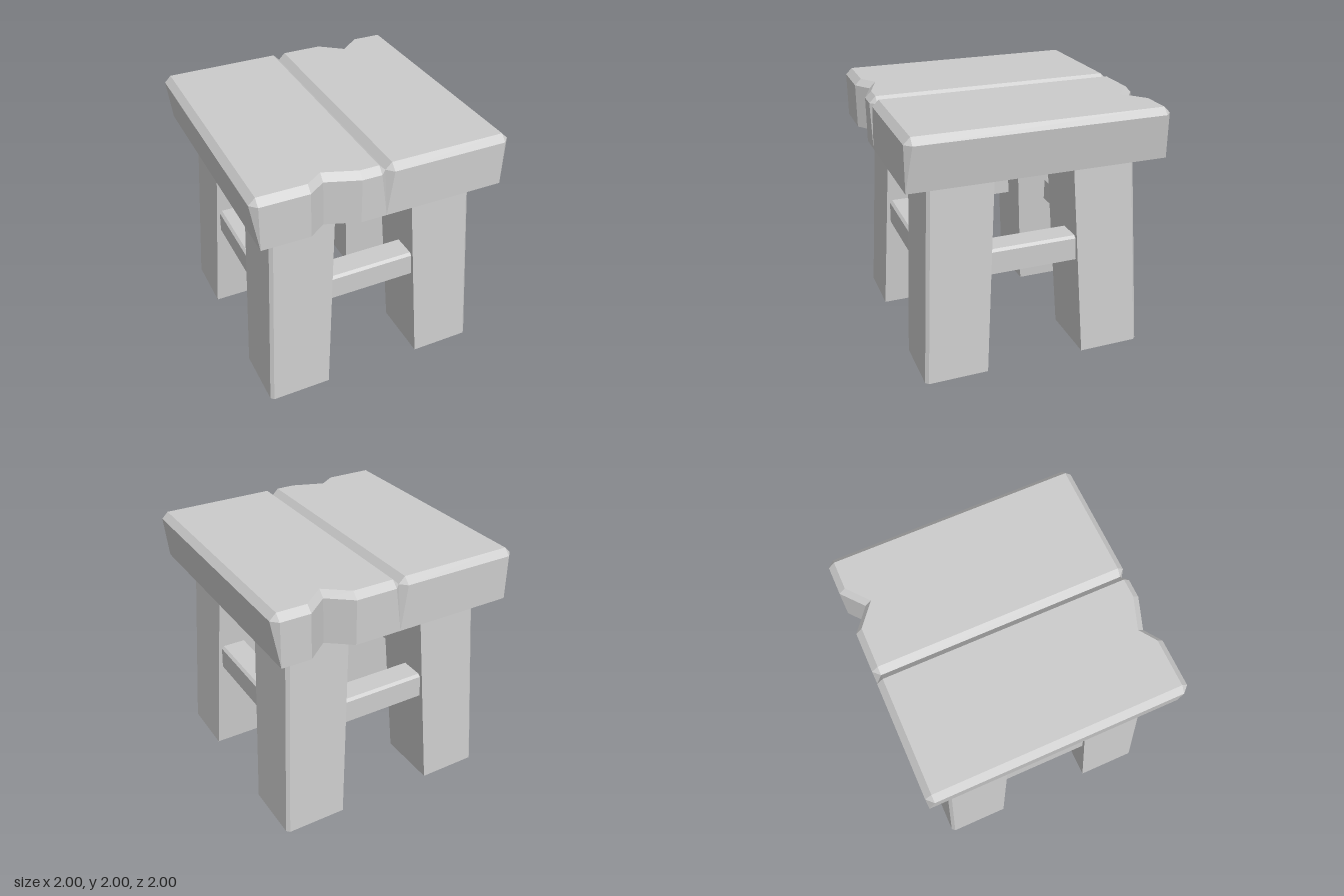
import * as THREE from 'three';

// Closed solid through stacked rings; each ring is { y, pts: [[x, z], ...] },
// counter-clockwise from above, all rings with the same number of points.
function loft(rings) {
  const pos = [];
  const tri = (a, b, c) => {
    const ab = b.clone().sub(a), ac = c.clone().sub(a);
    if (ab.cross(ac).length() < 1e-7) return; // collapsed corner
    for (const p of [a, b, c]) pos.push(p.x, p.y, p.z);
  };
  const loops = rings.map(r => r.pts.map(([x, z]) => new THREE.Vector3(x, r.y, z)));
  for (let k = 0; k < loops.length - 1; k++) {
    const lo = loops[k], hi = loops[k + 1];
    for (let i = 0; i < lo.length; i++) {
      const j = (i + 1) % lo.length;
      tri(lo[i], lo[j], hi[j]);
      tri(lo[i], hi[j], hi[i]);
    }
  }
  const cap = (loop, up) => {
    const pts = loop.filter((p, i) => p.distanceTo(loop[(i + 1) % loop.length]) > 1e-6);
    const flat = pts.map(p => new THREE.Vector2(p.x, -p.z));
    for (const [a, b, c] of THREE.ShapeUtils.triangulateShape(flat, [])) {
      if (up) tri(pts[a], pts[b], pts[c]);
      else tri(pts[a], pts[c], pts[b]);
    }
  };
  cap(loops[0], false);
  cap(loops[loops.length - 1], true);
  const geo = new THREE.BufferGeometry();
  geo.setAttribute('position', new THREE.Float32BufferAttribute(pos, 3));
  geo.computeVertexNormals();
  return geo;
}

// Plank on the +x half with a chipped notch [x0, xMid, x1, depth] in its back edge
function plankGeometry([x0, xMid, x1, depth]) {
  const B = 0.05;
  // corners are [x, z] pairs, front inner, front outer, back outer, back inner
  const ring = (y, fi, fo, bo, bi, zBack) => ({
    y, pts: [...fi, ...fo, ...bo, [x1, zBack], [xMid, zBack + depth], [x0, zBack], ...bi],
  });
  const twice = (x, z) => [[x, z], [x, z]];
  return loft([
    ring(1.6, twice(0, 1), twice(1 - B, 1), twice(1 - B, -1), twice(0, -1), -1),
    ring(1.95, [[0, 1 - B], [B, 1]], [[1 - B, 1], [1, 1 - B]],
      [[1, B - 1], [1 - B, -1]], [[B, -1], [0, B - 1]], -1),
    ring(2, twice(B, 1 - B), twice(1 - B, 1 - B), twice(1 - B, B - 1), twice(B, B - 1), B - 1),
  ]);
}

// Leaning square leg with its outer corner shaved off
function legGeometry() {
  const ring = (y, a) => {
    const b = a + 0.5, c = 0.024;
    return { y, pts: [[a, a], [a, b], [b - c, b], [b, b - c], [b, a]] };
  };
  return loft([ring(0, 0.4), ring(1.6, 0.31)]);
}

// Stretcher between two legs, upper long edges bevelled
function stretcherGeometry() {
  const ring = (y, inset) => {
    const zi = 0.6 + inset, zo = 0.82 - inset, x = 0.38;
    return { y, pts: [[-x, zi], [-x, zo], [x, zo], [x, zi]] };
  };
  return loft([ring(0.8, 0), ring(0.98, 0), ring(1, 0.02)]);
}

export function createModel() {
  const stool = new THREE.Group();
  stool.name = 'stool';
  const wood = new THREE.MeshStandardMaterial({ color: 0xcccccc, flatShading: true });
  const add = (name, geo, turn = 0) => {
    const mesh = new THREE.Mesh(geo, wood);
    mesh.name = name;
    mesh.rotation.y = turn;
    stool.add(mesh);
  };

  // Seat planks, the right one turned so its notch faces the front
  add('leftSeatPlank', plankGeometry([0.37, 0.55, 0.72, 0.14]));
  add('rightSeatPlank', plankGeometry([0.2, 0.45, 0.58, 0.09]), Math.PI);

  // Four legs and four stretchers, a quarter turn apart
  const leg = legGeometry(), stretcher = stretcherGeometry();
  const legNames = ['frontLeftLeg', 'backLeftLeg', 'backRightLeg', 'frontRightLeg'];
  const stretcherNames = ['frontStretcher', 'leftStretcher', 'backStretcher', 'rightStretcher'];
  for (let i = 0; i < 4; i++) {
    add(legNames[i], leg, i * Math.PI / 2);
    add(stretcherNames[i], stretcher, i * Math.PI / 2);
  }
  return stool;
}
